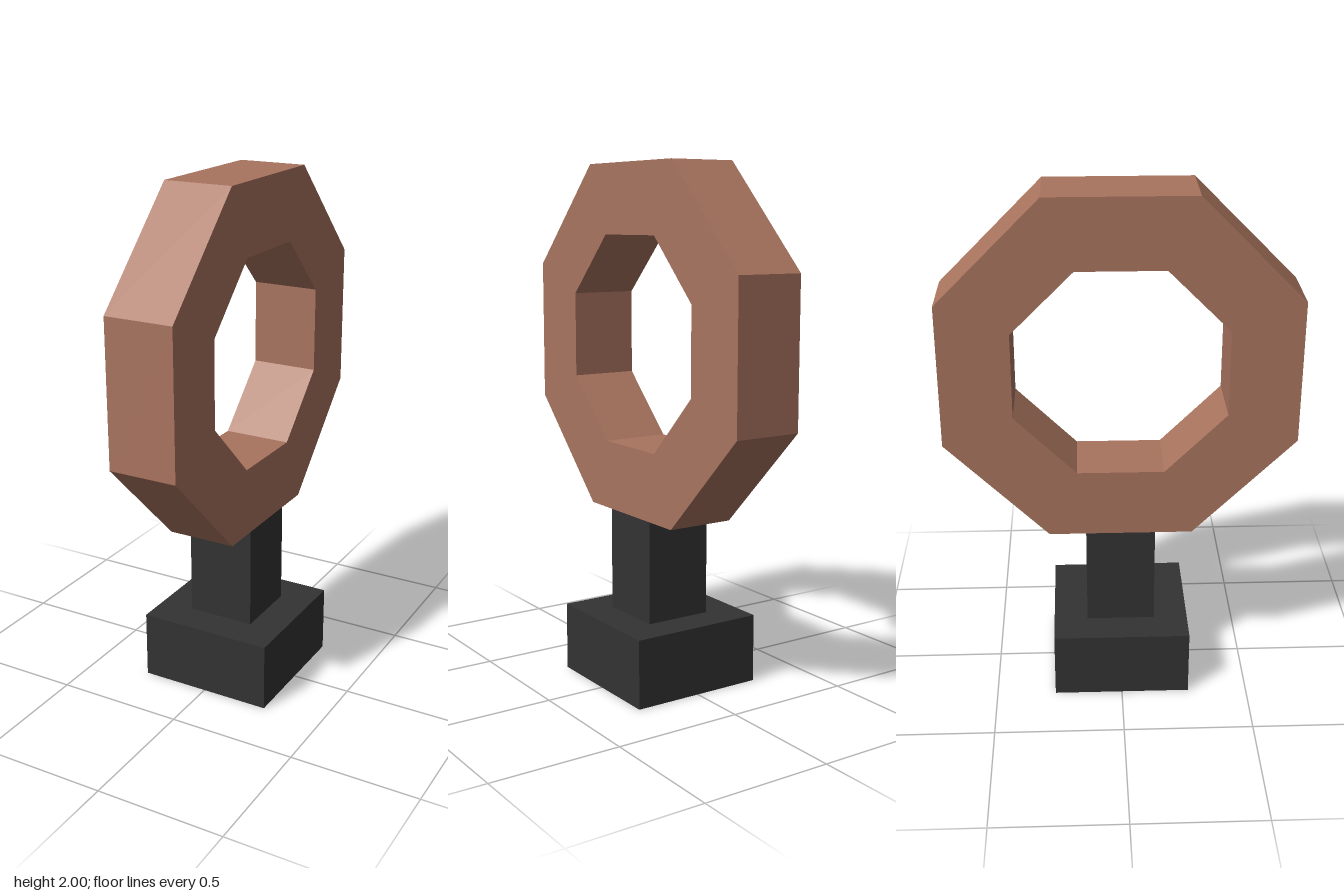
import * as THREE from 'three';

const brown = new THREE.MeshStandardMaterial({ color: 0xa9745f });
brown.name = 'copper brown';
const black = new THREE.MeshStandardMaterial({ color: 0x333333 });
black.name = 'charcoal';

// Corners of an octagon with flat sides; half = centre to flat side
function octagon(half) {
  const radius = half / Math.cos(Math.PI / 8);
  return Array.from({ length: 8 }, (_, i) => {
    const a = Math.PI / 8 + (i * Math.PI) / 4;
    return new THREE.Vector2(radius * Math.cos(a), radius * Math.sin(a));
  });
}

function addPart(group, name, geometry, material, y) {
  const mesh = new THREE.Mesh(geometry, material);
  mesh.name = name;
  mesh.position.y = y;
  group.add(mesh);
}

export function createModel() {
  const group = new THREE.Group();
  group.name = 'ringTrophy';
  const depth = 0.2667;

  // Square base and post
  addPart(group, 'base', new THREE.BoxGeometry(0.5333, 0.2667, 0.5333), black, 0.1333);
  addPart(group, 'post', new THREE.BoxGeometry(depth, 0.4, depth), black, 0.4667);

  // Octagonal ring, its opening facing sideways
  const shape = new THREE.Shape(octagon(0.6667));
  shape.holes.push(new THREE.Path(octagon(0.4).reverse()));
  const ring = new THREE.ExtrudeGeometry(shape, { depth, bevelEnabled: false });
  ring.translate(0, 0, -depth / 2).rotateY(Math.PI / 2);
  addPart(group, 'ring', ring, brown, 1.3333);

  return group;
}
